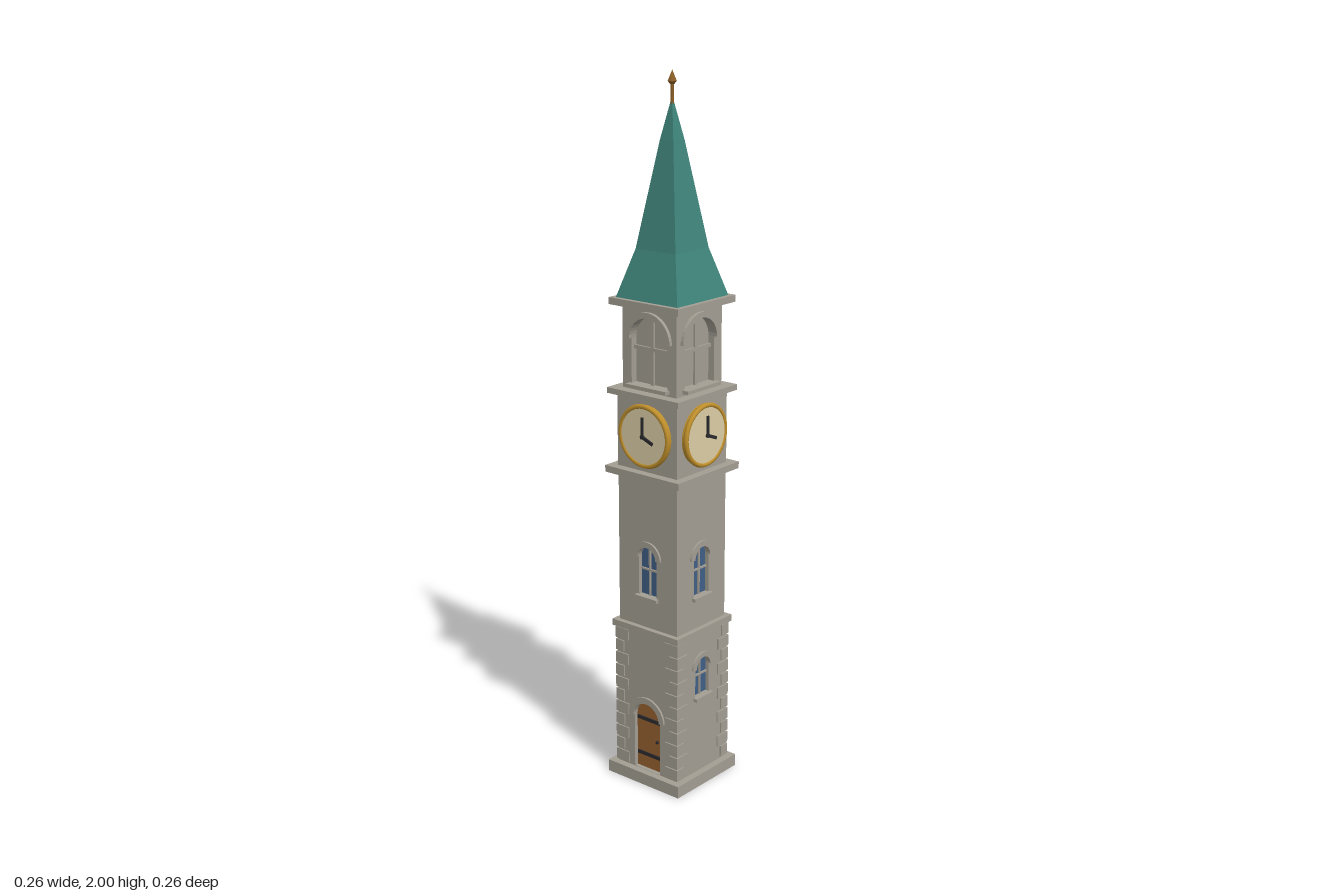
import * as THREE from 'three';

const mat = (name, color) => Object.assign(new THREE.MeshStandardMaterial({ color }), { name });
const M = {
  stone: mat('stone', 0xa39e93),
  copper: mat('copper roof', 0x3f857b),
  wood: mat('door wood', 0x96602f),
  iron: mat('iron', 0x2a2a2e),
  glass: mat('window glass', 0x3f5f85),
  gold: mat('gold rim', 0xc0902c),
  cream: mat('clock face', 0xdccda6),
  bronze: mat('finial bronze', 0x8c6026),
};

function add(parent, name, geo, material, x = 0, y = 0, z = 0) {
  const m = new THREE.Mesh(geo, material);
  m.name = name;
  m.position.set(x, y, z);
  parent.add(m);
  return m;
}
const box = (parent, name, w, h, d, material, x, y, z) =>
  add(parent, name, new THREE.BoxGeometry(w, h, d), material, x, y, z);

// square slab centred on the tower axis, from y0 to y1
const slab = (parent, name, half, y0, y1) =>
  box(parent, name, half * 2, y1 - y0, half * 2, M.stone, 0, (y0 + y1) / 2, 0);

// round-headed outline: half width r, bottom y0, crown at y1
function archOutline(target, r, y0, y1) {
  target.moveTo(-r, y0);
  target.lineTo(r, y0);
  target.lineTo(r, y1 - r);
  target.absarc(0, y1 - r, r, 0, Math.PI, false);
  target.lineTo(-r, y0);
  return target;
}
const extrude = (shape, depth) =>
  new THREE.ExtrudeGeometry(shape, { depth, bevelEnabled: false, curveSegments: 10 });

// half-ring moulding over an arch
function hoodShape(r, t, y) {
  const s = new THREE.Shape();
  s.absarc(0, y, r + t, 0, Math.PI, false);
  s.absarc(0, y, r, Math.PI, 0, true);
  return s;
}

// one side of the tower, facing +z, turned about the axis
function makeSide(parent, name, i) {
  const g = new THREE.Group();
  g.name = name;
  g.rotation.y = (i * Math.PI) / 2;
  parent.add(g);
  return g;
}

// wall tier: solid core plus four panels that meet pinwheel-fashion, each with arched openings
function wallTier(parent, name, half, y0, y1, t, openingsFor) {
  slab(parent, name + 'Core', half - t, y0, y1);
  for (let i = 0; i < 4; i++) {
    const side = makeSide(parent, name + 'Side', i);
    const s = new THREE.Shape();
    s.moveTo(-half, y0);
    s.lineTo(half - t, y0);
    s.lineTo(half - t, y1);
    s.lineTo(-half, y1);
    s.closePath();
    for (const o of openingsFor(i)) {
      s.holes.push(archOutline(new THREE.Path(), o.r, o.y0, o.y1));
      fillOpening(side, half, t, o);
    }
    add(side, name + 'Wall', extrude(s, t), M.stone, 0, 0, half - t);
  }
}

// pane or door in the recess, with its hood, sill and bars
function fillOpening(side, half, t, o) {
  const back = half - t;
  const h = o.y1 - o.y0;
  add(side, o.kind + 'Hood', extrude(hoodShape(o.r, o.hood, o.y1 - o.r), o.out), M.stone, 0, 0, half);
  if (o.kind !== 'belfry') {
    add(side, o.kind + 'Panel', extrude(archOutline(new THREE.Shape(), o.r, o.y0, o.y1), 0.004),
      o.kind === 'door' ? M.wood : M.glass, 0, 0, back);
  }
  if (o.kind === 'door') {
    for (const y of [0.08, 0.19]) box(side, 'doorStrap', 0.088, 0.01, 0.004, M.iron, 0, y, back + 0.006);
    add(side, 'doorHandle', new THREE.SphereGeometry(0.005, 8, 6), M.iron, 0.03, 0.13, back + 0.008);
    return;
  }
  const b = o.r * 0.16;
  box(side, o.kind + 'Mullion', b, h, 0.006, M.stone, 0, o.y0 + h / 2, back + 0.006);
  box(side, o.kind + 'Transom', o.r * 2, b, 0.006, M.stone, 0, o.y0 + h * 0.53, back + 0.006);
  box(side, o.kind + 'Sill', o.r * 2 + 0.014, 0.01, o.sill + t, M.stone, 0, o.y0 - 0.004, half + (o.sill - t) / 2);
}

function clock(parent, half, y) {
  for (let i = 0; i < 4; i++) {
    const g = makeSide(parent, 'clock', i);
    const disc = (name, r, d, m, z) =>
      add(g, name, new THREE.CylinderGeometry(r, r, d, 40), m, 0, y, z).rotateX(Math.PI / 2);
    disc('clockDrum', 0.086, 0.012, M.gold, half + 0.006);
    disc('clockFace', 0.078, 0.004, M.cream, half + 0.014);
    add(g, 'clockRim', new THREE.TorusGeometry(0.083, 0.007, 8, 40), M.gold, 0, y, half + 0.012);
    // hands turn about the dial centre
    for (const [name, len, w, a] of [['minuteHand', 0.058, 0.007, 0], ['hourHand', 0.042, 0.009, -1.95]]) {
      const geo = new THREE.BoxGeometry(w, len, 0.004).translate(0, len / 2 - 0.003, 0);
      add(g, name, geo, M.iron, 0, y, half + 0.02).rotation.z = a;
    }
    disc('handBoss', 0.006, 0.006, M.iron, half + 0.02);
  }
}

// alternating long and short corner stones
function quoins(parent, half, y0, y1, count) {
  const step = (y1 - y0) / count;
  for (const sx of [-1, 1]) for (const sz of [-1, 1]) {
    for (let k = 0; k < count; k++) {
      const long = k % 2 === 0;
      const w = long ? 0.046 : 0.03;
      const d = long ? 0.03 : 0.046;
      const o = half + 0.004;
      box(parent, 'quoin', w, step * 0.86, d, M.stone,
        sx * (o - w / 2), y0 + (k + 0.5) * step, sz * (o - d / 2));
    }
  }
}

// four-sided spire with a flared foot
function spire(parent) {
  const rows = [[0.107, 1.405], [0.069, 1.535], [0.023, 1.82], [0.002, 1.925]];
  const pts = [new THREE.Vector2(0, 1.405), ...rows.map(([h, y]) => new THREE.Vector2(h * Math.SQRT2, y))];
  const geo = new THREE.LatheGeometry(pts, 4, Math.PI / 4).toNonIndexed();
  geo.computeVertexNormals();
  add(parent, 'spire', geo, M.copper);
  // finial
  add(parent, 'finialRod', new THREE.CylinderGeometry(0.004, 0.005, 0.07, 8), M.bronze, 0, 1.94, 0);
  add(parent, 'finialCup', new THREE.CylinderGeometry(0.012, 0.005, 0.008, 8), M.bronze, 0, 1.967, 0);
  add(parent, 'finialTip', new THREE.ConeGeometry(0.012, 0.029, 8), M.bronze, 0, 1.9855, 0);
}

export function createModel() {
  const tower = new THREE.Group();
  tower.name = 'clockTower';

  // sides run front, left, back, right
  const small = { kind: 'window', r: 0.03, y0: 0.267, y1: 0.385, hood: 0.015, out: 0.006, sill: 0.012 };
  const tall = { kind: 'window', r: 0.032, y0: 0.57, y1: 0.715, hood: 0.017, out: 0.006, sill: 0.012 };
  const door = { kind: 'door', r: 0.047, y0: 0.036, y1: 0.245, hood: 0.018, out: 0.006 };
  const belfry = { kind: 'belfry', r: 0.063, y0: 1.172, y1: 1.36, hood: 0.016, out: 0.01, sill: 0.018 };

  slab(tower, 'plinth', 0.131, 0, 0.035);
  wallTier(tower, 'lowerTier', 0.11, 0.035, 0.458, 0.016, (i) => [[door], [small], [], [small]][i]);
  quoins(tower, 0.11, 0.037, 0.456, 11);
  slab(tower, 'stringCourse', 0.12, 0.458, 0.477);
  wallTier(tower, 'shaft', 0.105, 0.477, 0.915, 0.016, () => [tall]);
  slab(tower, 'clockCornice', 0.131, 0.915, 0.934);
  slab(tower, 'clockStage', 0.106, 0.934, 1.14);
  clock(tower, 0.106, 1.038);
  slab(tower, 'belfryCornice', 0.126, 1.14, 1.156);
  wallTier(tower, 'belfryStage', 0.095, 1.156, 1.386, 0.02, () => [belfry]);
  slab(tower, 'eavesCornice', 0.121, 1.386, 1.405);
  spire(tower);
  return tower;
}
